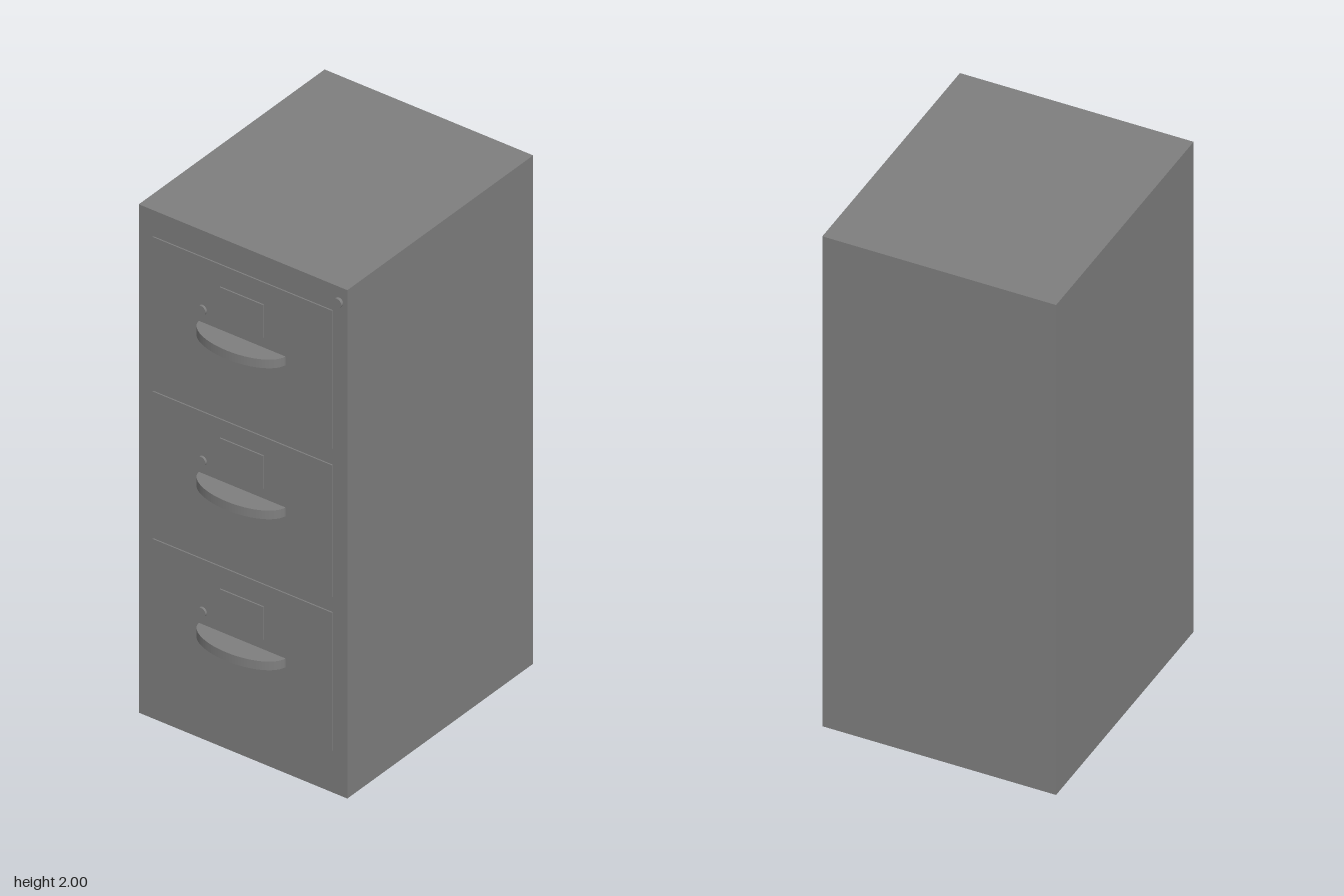
import * as THREE from 'three';

export function createModel() {
  const group = new THREE.Group();
  group.name = 'filingCabinet';
  const metal = new THREE.MeshStandardMaterial({ color: 0x7f7f7f });
  metal.name = 'grey metal';
  const frontZ = 0.462;

  const add = (name, geometry, x, y, z) => {
    const mesh = new THREE.Mesh(geometry, metal);
    mesh.name = name;
    mesh.position.set(x, y, z);
    group.add(mesh);
  };
  // Thin plate standing on the front face
  const plate = (name, x, y, w, h, proud) =>
    add(name, new THREE.BoxGeometry(w, h, proud), x, y, frontZ + proud / 2);
  // Round button facing forward
  const button = (name, x, y, r, proud) =>
    add(name, new THREE.CylinderGeometry(r, r, proud, 24).rotateX(Math.PI / 2), x, y, frontZ + proud / 2);

  // Cabinet body
  add('cabinetBody', new THREE.BoxGeometry(0.86, 2, 1.017), 0, 1, -0.0465);

  // Bowed pull: a half-elliptical strip
  const bow = new THREE.Shape();
  bow.absellipse(0, 0, 0.179, 0.093, 0, Math.PI, false);
  const inner = new THREE.Path().absellipse(0, 0, 0.167, 0.081, 0, Math.PI, true).getPoints(24);
  for (const p of inner.reverse()) bow.lineTo(p.x, p.y);
  const handleGeometry = new THREE.ExtrudeGeometry(bow, { depth: 0.034, bevelEnabled: false, curveSegments: 24 });
  handleGeometry.rotateX(Math.PI / 2);

  // Drawers, each with label holder, latch button and handle
  const drawers = [
    { bottom: 0.165, top: 0.71, handle: 0.438 },
    { bottom: 0.77, top: 1.29, handle: 1.032 },
    { bottom: 1.354, top: 1.898, handle: 1.626 },
  ];
  for (const { bottom, top, handle } of drawers) {
    plate('drawerFront', 0, (bottom + top) / 2, 0.74, top - bottom, 0.005);
    plate('labelHolder', 0, handle + 0.122, 0.18, 0.13, 0.01);
    button('latchButton', -0.163, handle + 0.068, 0.018, 0.014);
    add('handle', handleGeometry, 0, handle + 0.017, frontZ);
  }

  // Lock in the upper corner
  button('lock', 0.395, 1.94, 0.018, 0.011);

  return group;
}
